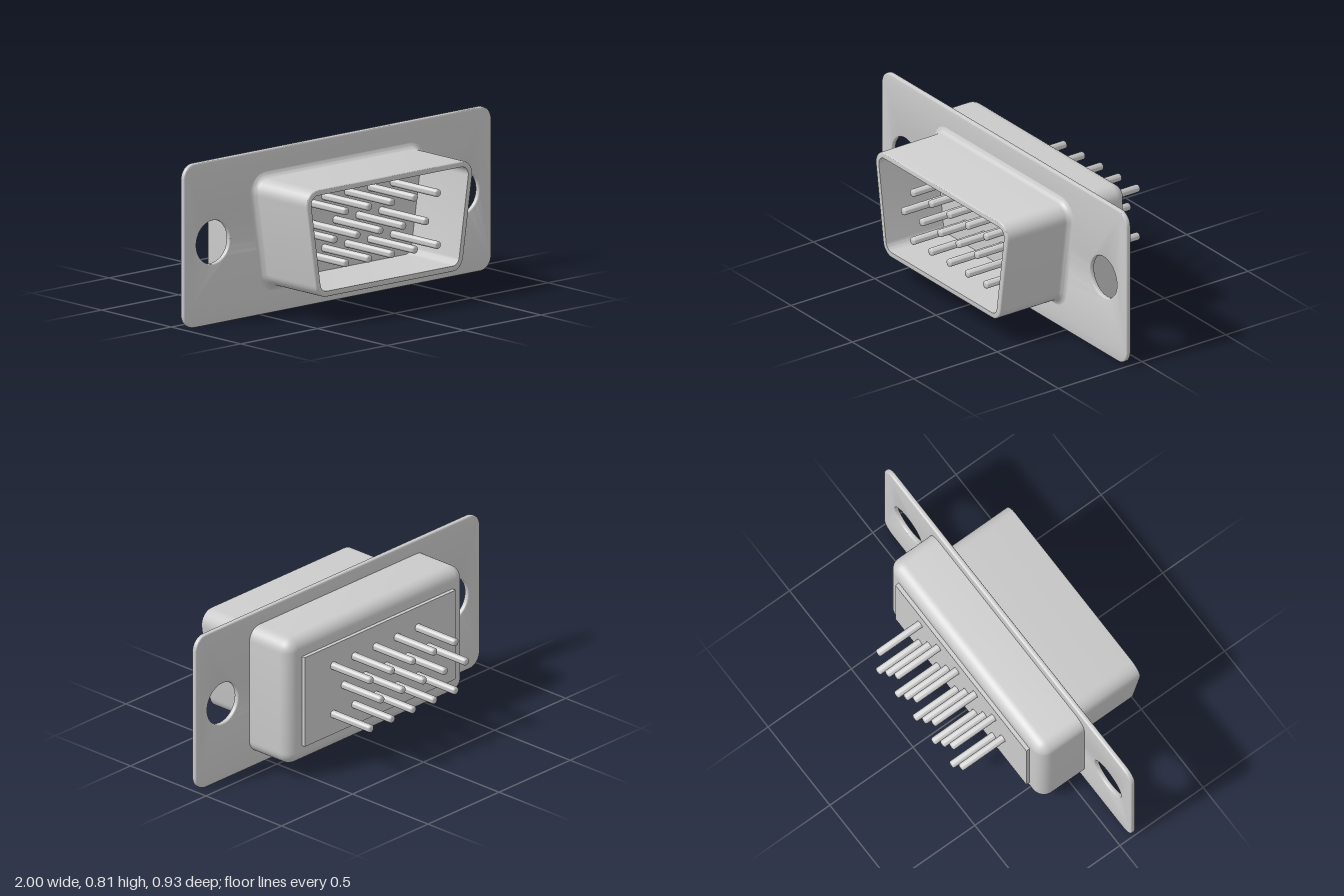
import * as THREE from 'three';
import { toCreasedNormals } from 'three/addons/utils/BufferGeometryUtils.js';

const material = new THREE.MeshStandardMaterial({ color: 0xcccccc });
const MID_Y = 0.406;

// Counter-clockwise outline with rounded corners, offset outward by d
function ring(corners, radius, d, steps = 8) {
  const n = corners.length, points = [];
  const normal = (a, b) => new THREE.Vector2(b[1] - a[1], a[0] - b[0]).normalize();
  corners.forEach((p, i) => {
    const n1 = normal(corners[(i + n - 1) % n], p);
    const n2 = normal(p, corners[(i + 1) % n]);
    const k = radius / (1 + n1.dot(n2));
    const cx = p[0] - (n1.x + n2.x) * k, cy = p[1] - (n1.y + n2.y) * k;
    const start = Math.atan2(n1.y, n1.x);
    const sweep = Math.acos(n1.dot(n2));
    for (let s = 0; s <= steps; s++) {
      const t = start + sweep * s / steps;
      points.push([cx + Math.cos(t) * (radius + d), cy + Math.sin(t) * (radius + d)]);
    }
  });
  return points;
}

// Skin through [offset, z] sections of one outline, with optional end caps
function loft(corners, radius, sections, capStart, capEnd) {
  const positions = [], index = [];
  let n = 0;
  for (const [d, z] of sections) {
    const pts = ring(corners, radius, d);
    n = pts.length;
    pts.forEach(([x, y]) => positions.push(x, y, z));
  }
  for (let i = 0; i < sections.length - 1; i++) {
    for (let j = 0; j < n; j++) {
      const a = i * n + j, b = i * n + (j + 1) % n;
      index.push(a, b, b + n, a, b + n, a + n);
    }
  }
  const cap = (row, flip) => {
    const c = positions.length / 3;
    positions.push(0, MID_Y, sections[row][1]);
    for (let j = 0; j < n; j++) {
      const a = row * n + j, b = row * n + (j + 1) % n;
      index.push(...(flip ? [b, a, c] : [a, b, c]));
    }
  };
  if (capStart) cap(0, true);
  if (capEnd) cap(sections.length - 1, false);
  const geometry = new THREE.BufferGeometry();
  geometry.setAttribute('position', new THREE.Float32BufferAttribute(positions, 3));
  geometry.setIndex(index);
  return toCreasedNormals(geometry, 0.6);
}

const trapezoid = (top, bottom, y0, y1) => [[-bottom, y0], [bottom, y0], [top, y1], [-top, y1]];

// Quarter-circle steps, mapped to [offset, z] pairs
const quarter = (fn, steps = 8) => Array.from({ length: steps + 1 }, (_, i) => fn(i / steps * Math.PI / 2));

export function createModel() {
  const model = new THREE.Group();
  const add = (name, geometry, parent = model) => {
    const mesh = new THREE.Mesh(geometry, material);
    mesh.name = name;
    parent.add(mesh);
    return mesh;
  };

  // Mounting plate with two screw holes and softened edges
  const bevel = 0.007;
  const outline = ring(trapezoid(1, 1, 0, 0.812), 0.07, -bevel).map(p => new THREE.Vector2(...p));
  const plateShape = new THREE.Shape(outline);
  for (const side of [-1, 1]) {
    const hole = new THREE.Path();
    hole.absarc(side * 0.81, MID_Y, 0.107 + bevel, 0, Math.PI * 2, true);
    plateShape.holes.push(hole);
  }
  const plate = new THREE.ExtrudeGeometry(plateShape, {
    depth: 0.026 - 2 * bevel, bevelThickness: bevel, bevelSize: bevel, bevelSegments: 3, curveSegments: 32,
  });
  plate.translate(0, 0, 0.067 + bevel);
  add('mountingPlate', toCreasedNormals(plate, 0.6));

  // Rear housing, rounded toward the back
  const r = 0.065;
  add('rearHousing', loft(trapezoid(0.622, 0.622, 0.074, 0.74), 0.068, [
    ...quarter(t => [-r + r * Math.sin(t), -0.193 + r - r * Math.cos(t)]),
    [0, 0.075],
  ], true, false));

  // Raised panel on the back
  const panel = new THREE.BoxGeometry(1.06, 0.474, 0.04);
  panel.translate(0, 0.407, -0.193);
  add('rearPanel', panel);

  // Hollow front shell: flared base, thin rim, inner wall and recessed floor
  const flare = 0.038, wall = 0.028, front = 0.467, soft = 0.006;
  add('frontShell', loft(trapezoid(0.55, 0.47, 0.138, 0.675), 0.07, [
    ...quarter(t => [flare - flare * Math.sin(t), 0.092 + flare - flare * Math.cos(t)]),
    ...quarter(t => [-soft + soft * Math.cos(t), front - soft + soft * Math.sin(t)], 3),
    [-wall, front],
    [-wall, 0.125],
  ], false, true));

  // Three staggered rows of pins running through the connector
  const c = 0.007, pinR = 0.0195, back = -0.467, tip = 0.45;
  const profile = [
    [0, back], [pinR - c, back], [pinR - 0.002, back + 0.002], [pinR, back + c],
    [pinR, tip - c], [pinR - 0.002, tip - 0.002], [pinR - c, tip], [0, tip],
  ].map(p => new THREE.Vector2(...p));
  const pinGeometry = toCreasedNormals(new THREE.LatheGeometry(profile, 20).rotateX(Math.PI / 2), 0.9);
  const pins = new THREE.Group();
  pins.name = 'pins';
  model.add(pins);
  [[0.278, -0.265], [0.407, -0.34], [0.535, -0.265]].forEach(([y, x0]) => {
    for (let i = 0; i < 5; i++) add('pin', pinGeometry, pins).position.set(x0 + i * 0.149, y, 0);
  });

  return model;
}
